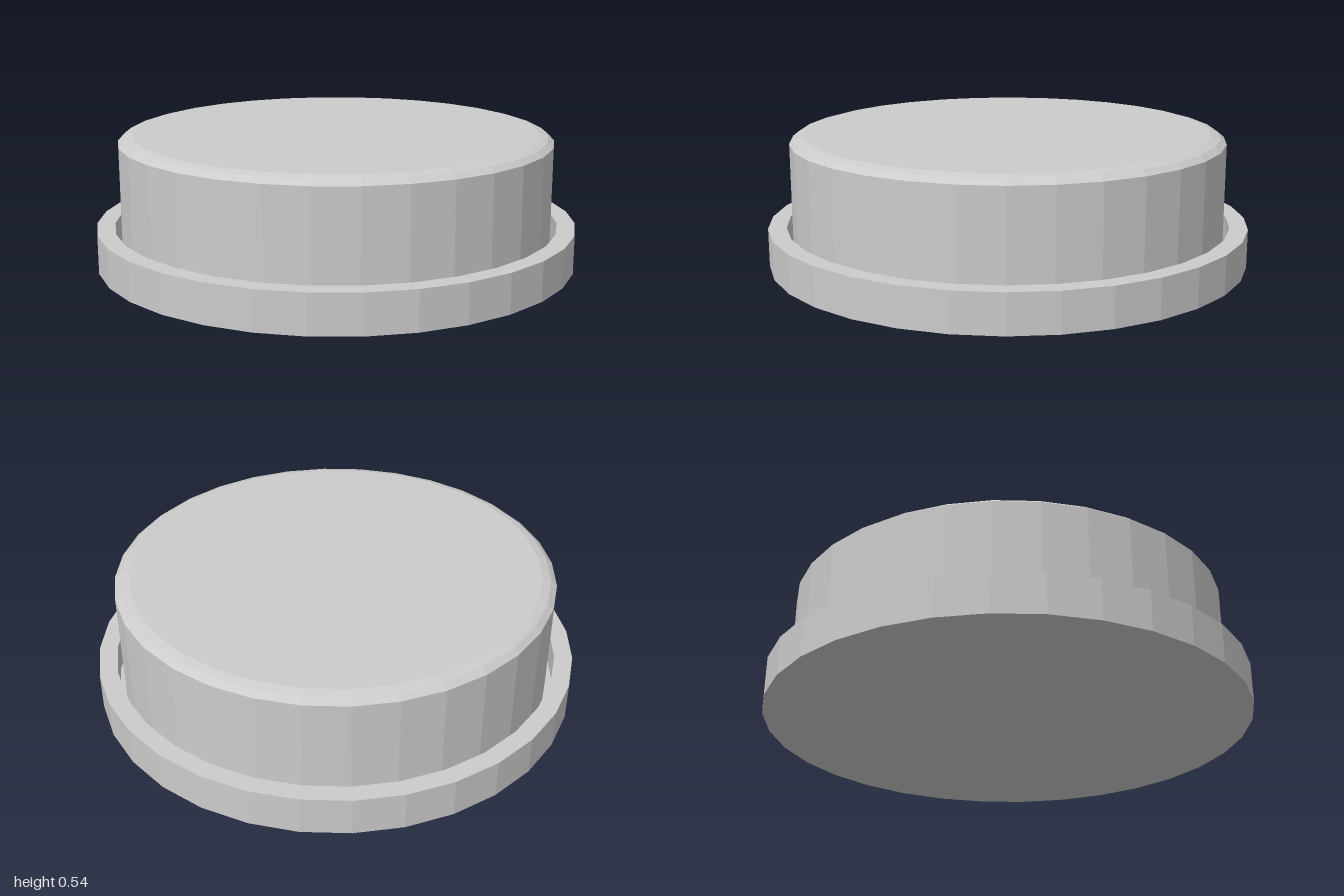
import * as THREE from 'three';

const SIDES = 32;

// Turned part from [radius, height] pairs, with visible facets
function turned(name, profile) {
  const points = profile.map(([r, y]) => new THREE.Vector2(r, y));
  const material = new THREE.MeshStandardMaterial({ color: 0xcccccc, flatShading: true });
  const mesh = new THREE.Mesh(new THREE.LatheGeometry(points, SIDES), material);
  mesh.name = name;
  return mesh;
}

export function createModel() {
  const model = new THREE.Group();
  model.name = 'pushButton';

  // Shallow cup: closed base, raised rim and a narrow gap around the cap
  model.add(turned('housing', [
    [0, 0], [1, 0], [1, 0.16], [0.925, 0.16], [0.925, 0.04], [0, 0.04],
  ]));

  // Cap with a softened top edge, standing on the cup floor
  model.add(turned('cap', [
    [0.9, 0.04], [0.9, 0.51], [0.875, 0.53], [0.84, 0.54], [0, 0.54],
  ]));

  return model;
}
